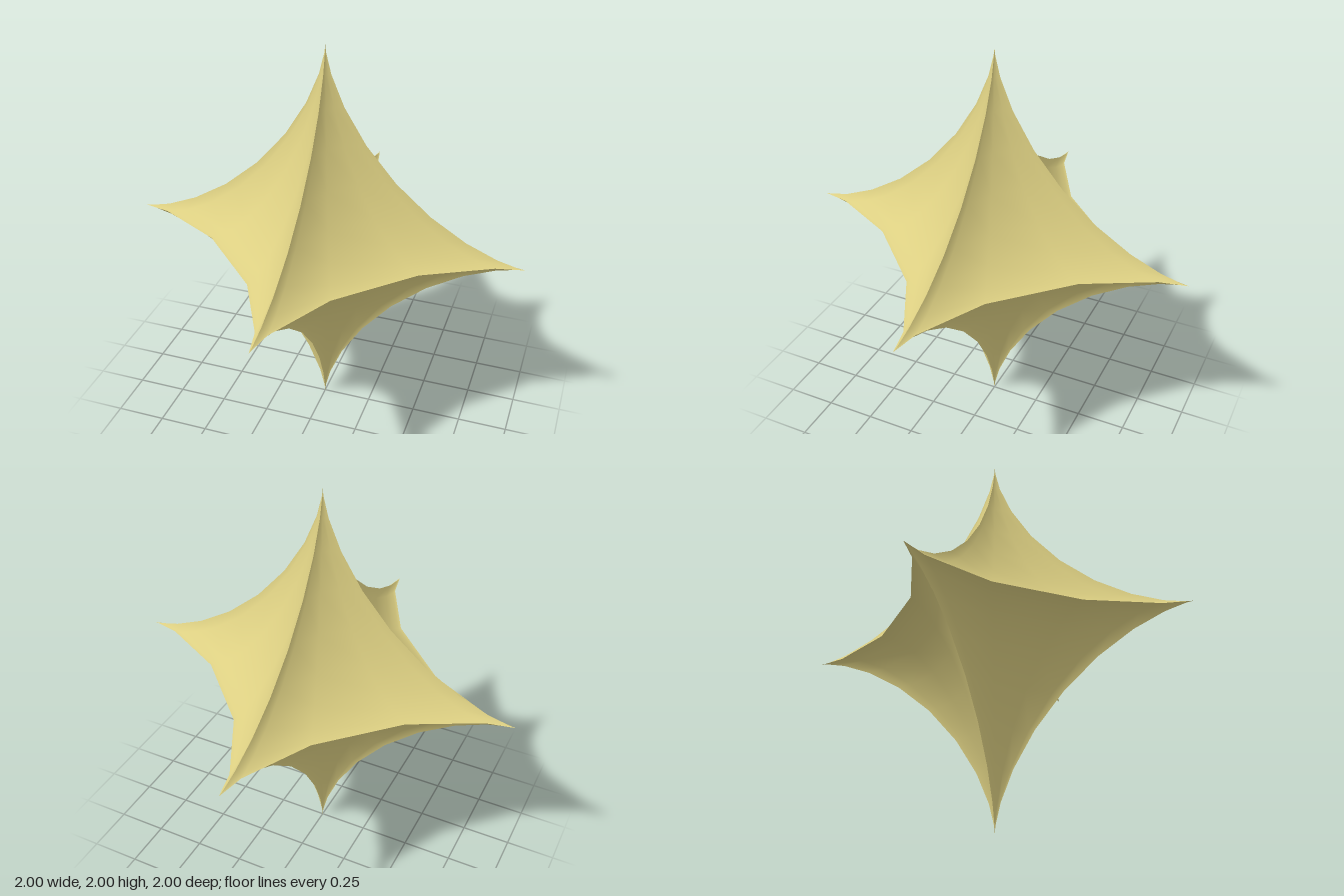
import * as THREE from 'three';
import { ParametricGeometry } from 'three/addons/geometries/ParametricGeometry.js';

const QUARTER = Math.PI / 2;

// One eighth of an astroidal sphere: each coordinate of a unit sphere is cubed,
// so the face curves inward between three spikes.
function octantGeometry(turn, half) {
  const geometry = new ParametricGeometry((s, t, target) => {
    const u = (turn + s) * QUARTER;
    const v = (half + t) * QUARTER;
    target.set(
      (Math.cos(v) * Math.sin(u)) ** 3,
      Math.sin(v) ** 3,
      (Math.cos(v) * Math.cos(u)) ** 3
    );
  }, 5, 10);
  geometry.computeVertexNormals(); // smooth inside the face, sharp at the ridges
  return geometry;
}

export function createModel() {
  const model = new THREE.Group();
  model.name = 'sixPointedStar';
  const paleGold = new THREE.MeshStandardMaterial({ color: 0xdccf82 });
  paleGold.name = 'paleGold';

  const star = new THREE.Group();
  star.name = 'starBody';
  star.position.y = 1;
  model.add(star);

  // Lower and upper halves, four concave faces each
  for (const half of [-1, 0]) {
    for (let turn = 0; turn < 4; turn++) {
      const face = new THREE.Mesh(octantGeometry(turn, half), paleGold);
      face.name = `${half < 0 ? 'lower' : 'upper'}Face${turn + 1}`;
      star.add(face);
    }
  }
  return model;
}
